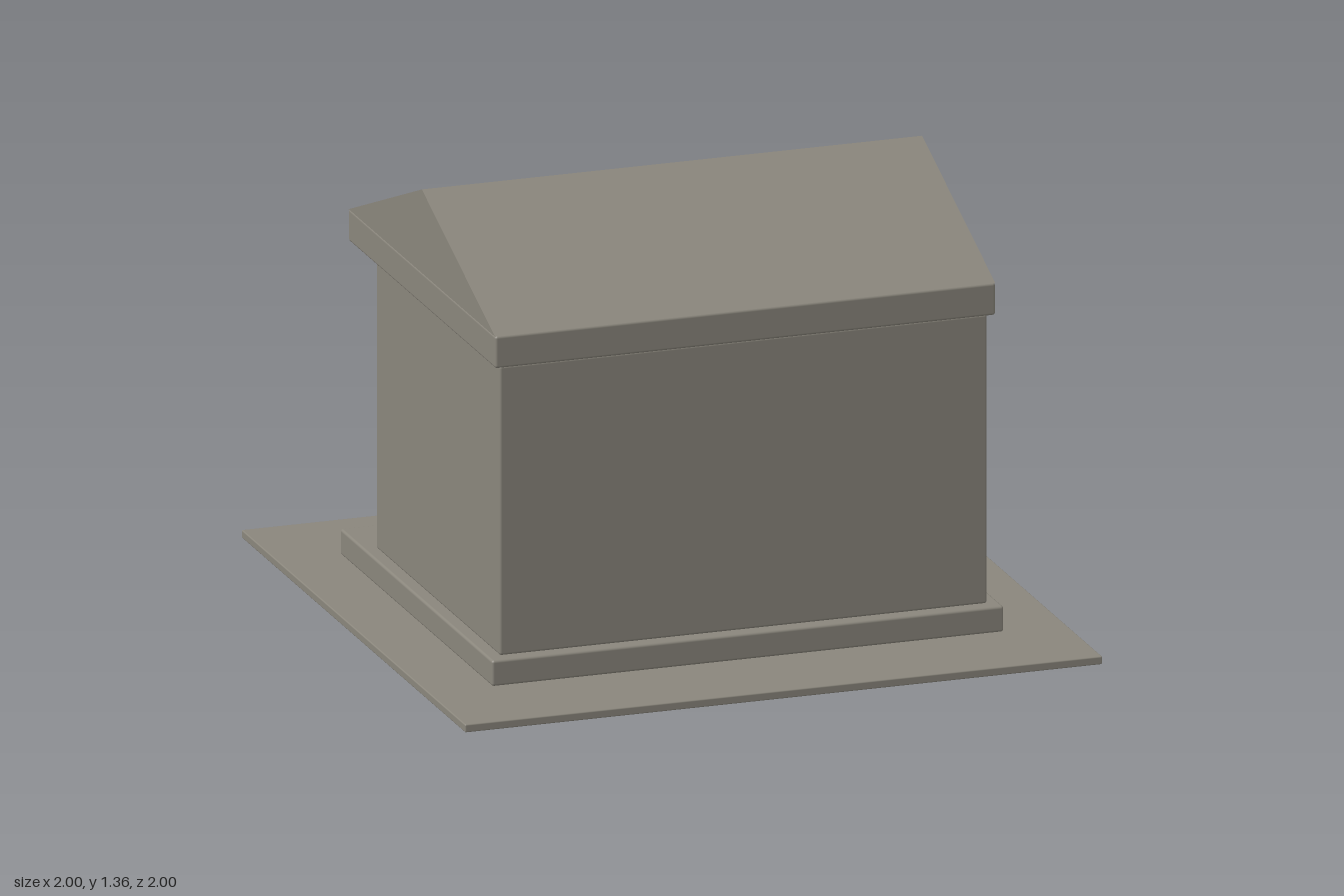
import * as THREE from 'three';
import { RoundedBoxGeometry } from 'three/addons/geometries/RoundedBoxGeometry.js';

export function createModel() {
  const model = new THREE.Group();
  model.name = 'columnedHall';

  const stone = new THREE.MeshStandardMaterial({ name: 'stone', color: 0x8a867c });
  const glass = new THREE.MeshStandardMaterial({ name: 'glass', color: 0x4c5c6c });

  function add(name, geometry, material, x, y, z, parent = model) {
    const mesh = new THREE.Mesh(geometry, material);
    mesh.name = name;
    mesh.position.set(x, y, z);
    parent.add(mesh);
    return mesh;
  }

  // Block given by its size, bottom height and centre, with slightly eased edges
  function block(name, w, h, d, bottom, z = 0, bevel = 0.008) {
    return add(name, new RoundedBoxGeometry(w, h, d, 2, bevel), stone, 0, bottom + h / 2, z);
  }

  // Ground slab, plinth, main body and eaves
  block('groundSlab', 2, 0.025, 2, 0, 0, 0.004);
  block('plinth', 1.606, 0.08, 1.36, 0.025);
  block('body', 1.53, 0.9, 1.105, 0.105, 0.087);
  block('eaves', 1.57, 0.1, 1.315, 1.005);

  // Gabled roof, ridge running along x
  const length = 1.57;
  const gable = new THREE.Shape();
  gable.moveTo(-0.655, 0);
  gable.lineTo(0.655, 0);
  gable.lineTo(0, 0.26);
  gable.closePath();
  const roof = new THREE.ExtrudeGeometry(gable, { depth: length, bevelEnabled: false });
  roof.translate(0, 0, -length / 2).rotateY(Math.PI / 2);
  add('roof', roof, stone, 0, 1.104, 0);

  // Portico columns along the back
  const columnGeometry = new THREE.CylinderGeometry(0.065, 0.065, 0.855, 32);
  for (const x of [-0.51, -0.17, 0.17, 0.51]) {
    add('column', columnGeometry, stone, x, 0.105 + 0.855 / 2, -0.592);
  }

  // Door between the middle columns
  add('door', new THREE.BoxGeometry(0.27, 0.32, 0.04), stone, 0, 0.265, -0.473);

  // Two rows of three windows on the left wall
  const frameGeometry = new THREE.BoxGeometry(0.03, 0.245, 0.19);
  const paneGeometry = new THREE.BoxGeometry(0.009, 0.21, 0.15);
  for (const y of [0.46, 0.822]) {
    for (const z of [-0.282, 0.087, 0.456]) {
      const windowGroup = new THREE.Group();
      windowGroup.name = 'window';
      windowGroup.position.set(0.77, y, z);
      model.add(windowGroup);
      add('windowFrame', frameGeometry, stone, 0, 0, 0, windowGroup);
      add('windowPane', paneGeometry, glass, 0.0195, 0, 0, windowGroup);
    }
  }

  return model;
}
